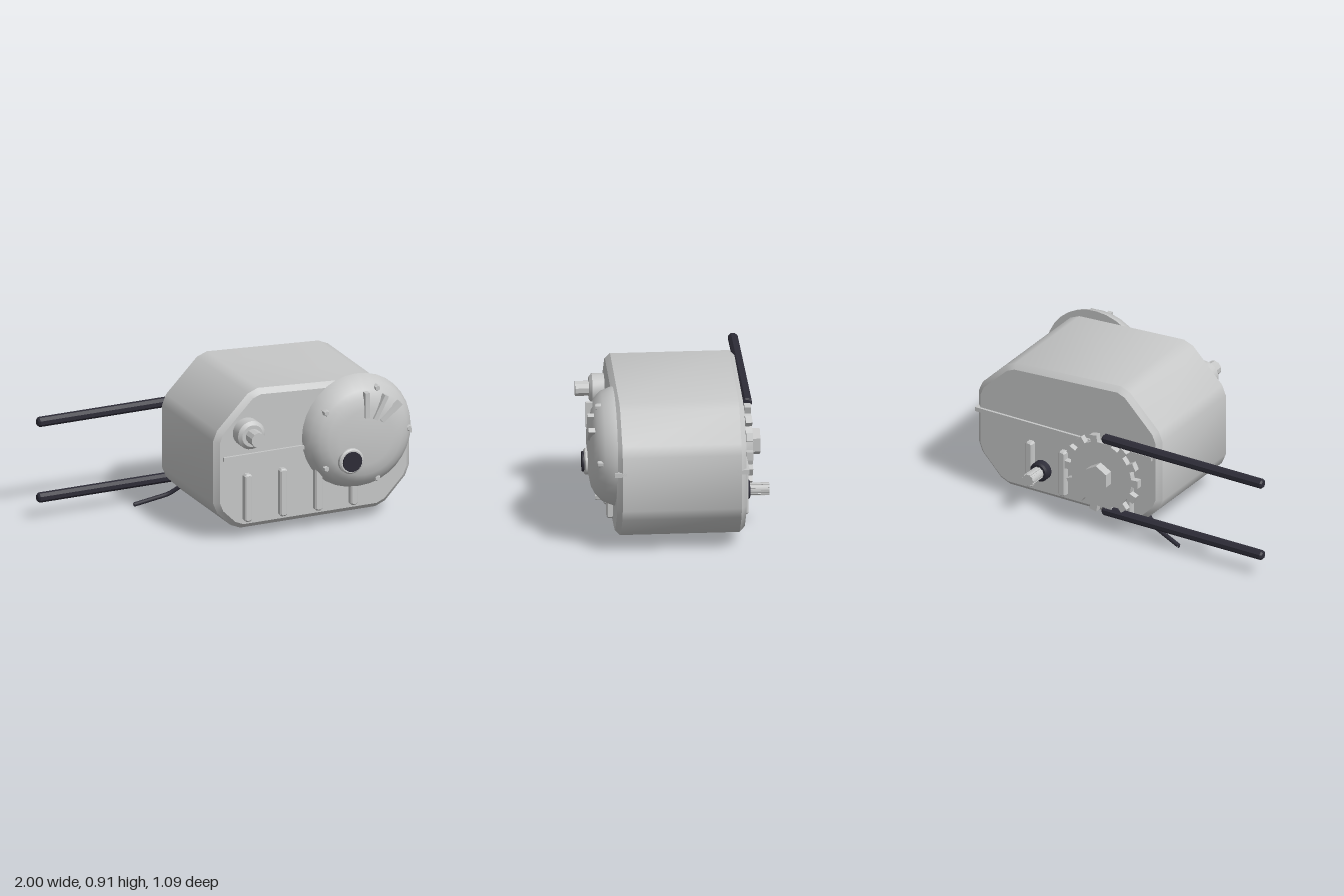
import * as THREE from 'three';
import { toCreasedNormals } from 'three/addons/utils/BufferGeometryUtils.js';

const steel = new THREE.MeshStandardMaterial({ color: 0xc6c7c7 });
steel.name = 'light steel grey';
const rubber = new THREE.MeshStandardMaterial({ color: 0x2d2c37 });
rubber.name = 'dark rubber';

export function createModel() {
  const model = new THREE.Group();

  function add(name, geometry, material, x = 0, y = 0, z = 0) {
    const mesh = new THREE.Mesh(geometry, material);
    mesh.name = name;
    mesh.position.set(x, y, z);
    model.add(mesh);
    return mesh;
  }
  // Turned part: profile of [radius, height], axis along +z
  function turned(profile, sides, crease = 0.6) {
    const g = new THREE.LatheGeometry(profile.map(p => new THREE.Vector2(...p)), sides);
    g.rotateX(Math.PI / 2);
    return toCreasedNormals(g, crease);
  }
  // Outline with every corner cut by a short distance
  function cutCorners(points, cut) {
    const out = [];
    points.forEach((p, i) => {
      const a = new THREE.Vector2(...p);
      for (const q of [points.at(i - 1), points[(i + 1) % points.length]]) {
        const d = new THREE.Vector2(...q).sub(a).setLength(cut);
        out.push(a.clone().add(d));
      }
    });
    return new THREE.Shape(out);
  }
  // Plate with square teeth
  function gear(root, tip, teeth, depth) {
    const pts = [];
    for (let i = 0; i < teeth; i++) {
      [[-0.5, root], [-0.24, root], [-0.22, tip], [0.22, tip], [0.24, root]].forEach(([t, r]) => {
        const a = (i + t) / teeth * Math.PI * 2;
        pts.push(new THREE.Vector2(r * Math.cos(a), r * Math.sin(a)));
      });
    }
    const g = new THREE.ExtrudeGeometry(new THREE.Shape(pts), { depth, bevelEnabled: false });
    return toCreasedNormals(g, 0.3);
  }

  // Crankcase block
  const outline = cutCorners([
    [-0.22, 0.215], [-0.1, 0.096], [0.81, 0.096], [0.97, 0.265],
    [0.97, 0.64], [0.77, 0.832], [0.01, 0.878], [-0.22, 0.645]], 0.03);
  const block = new THREE.ExtrudeGeometry(outline, {
    depth: 0.69, bevelThickness: 0.03, bevelSize: 0.03, bevelSegments: 1 });
  add('crankcase', toCreasedNormals(block, 0.7), steel, 0, 0, -0.35);

  // Seam ridges and cooling ribs on both faces
  for (const [side, face] of [['front', 0.365], ['back', -0.375]]) {
    const out = Math.sign(face);
    add(side + 'Seam', new THREE.BoxGeometry(1.2, 0.026, 0.07), steel, 0.4, 0.513, face - out * 0.015);
    for (let i = 0; i < 4; i++) {
      const rib = new THREE.ExtrudeGeometry(
        cutCorners([[-0.015, -0.137], [0.015, -0.137], [0.015, 0.137], [-0.015, 0.137]], 0.006),
        { depth: 0.05, bevelThickness: 0.008, bevelSize: 0.008, bevelSegments: 1 });
      rib.translate(0, 0, -0.025);
      add(side + 'Rib', rib, steel, -0.052 + i * 0.225, 0.262, face + out * 0.008);
    }
  }

  // Domed clutch cover with bolts and raised bars
  const cx = 0.647, cy = 0.565;
  add('clutchCover', turned([[0, 0], [0.345, 0], [0.342, 0.015], [0.32, 0.07], [0.28, 0.11],
    [0.235, 0.134], [0.17, 0.146], [0, 0.148]], 32), steel, cx, cy, 0.366);
  for (let i = 0; i < 5; i++) {
    const a = i / 5 * Math.PI * 2;
    add('coverBolt', turned([[0, 0], [0.02, 0], [0.02, 0.045], [0.015, 0.053], [0, 0.053]], 6),
      steel, cx + 0.291 * Math.cos(a), cy + 0.291 * Math.sin(a), 0.428);
  }
  for (const [x, y, deg] of [[0.65, 0.762, 0], [0.737, 0.736, -28], [0.803, 0.699, -52]]) {
    const bar = add('coverBar', new THREE.BoxGeometry(0.027, 0.155, 0.038), steel, x, y, 0.508);
    bar.rotation.z = deg * Math.PI / 180;
  }

  // Filler neck with dark plug
  add('fillerRing', turned([[0, 0], [0.077, 0], [0.077, 0.055], [0.068, 0.062], [0, 0.062]], 24),
    steel, 0.547, 0.437, 0.47);
  add('fillerPlug', turned([[0, 0], [0.06, 0], [0.06, 0.035], [0, 0.035]], 20), rubber, 0.547, 0.437, 0.508);

  // Front boss with faceted shaft
  add('frontBoss', turned([[0, 0], [0.086, 0], [0.086, 0.075], [0.066, 0.092], [0, 0.092]], 24),
    steel, -0.052, 0.662, 0.365);
  add('frontShaft', turned([[0, 0], [0.045, 0], [0.045, 0.12], [0, 0.12]], 10, 0.3),
    steel, -0.052, 0.662, 0.417);

  // Rear output shaft and collar
  add('rearCollar', turned([[0, 0], [0.06, 0], [0.06, 0.04], [0.05, 0.05], [0, 0.05]], 20),
    rubber, 0.547, 0.238, -0.38).rotation.y = Math.PI;
  add('rearShaft', gear(0.034, 0.038, 10, 0.18), steel, 0.547, 0.238, -0.543);

  // Sprocket and hex nut
  const sx = 0.097, sy = 0.364;
  add('sprocket', gear(0.207, 0.25, 14, 0.038), steel, sx, sy, -0.467);
  const nut = new THREE.CylinderGeometry(0.08, 0.08, 0.07, 6).rotateX(Math.PI / 2);
  add('sprocketNut', toCreasedNormals(nut, 0.3), steel, sx, sy, -0.487);

  // Drive chain runs
  for (const y of [0.597, 0.133]) {
    const run = turned([[0, -0.545], [0.02, -0.545], [0.03, -0.535], [0.03, 0.535], [0.02, 0.545], [0, 0.545]], 8, 0.3);
    run.rotateZ(Math.PI / 8).rotateY(Math.PI / 2);
    add('chainRun', run, rubber, -0.455, y, -0.45);
  }

  // Bent gear lever below the rear corner
  const bend = new THREE.CatmullRomCurve3([[-0.12, 0.13, -0.32], [-0.185, 0.078, -0.352],
    [-0.215, 0.062, -0.363], [-0.3, 0.039, -0.385], [-0.4, 0.013, -0.41]].map(p => new THREE.Vector3(...p)),
    false, 'catmullrom', 0.3);
  const lever = add('lever', new THREE.TubeGeometry(bend, 16, 0.013, 8), rubber);
  const tip = new THREE.CircleGeometry(0.013, 8).rotateY(-Math.PI / 2);
  tip.translate(-0.4, 0.013, -0.41);
  const cap = new THREE.Mesh(tip, rubber);
  cap.name = 'leverTip';
  lever.add(cap);

  return model;
}
